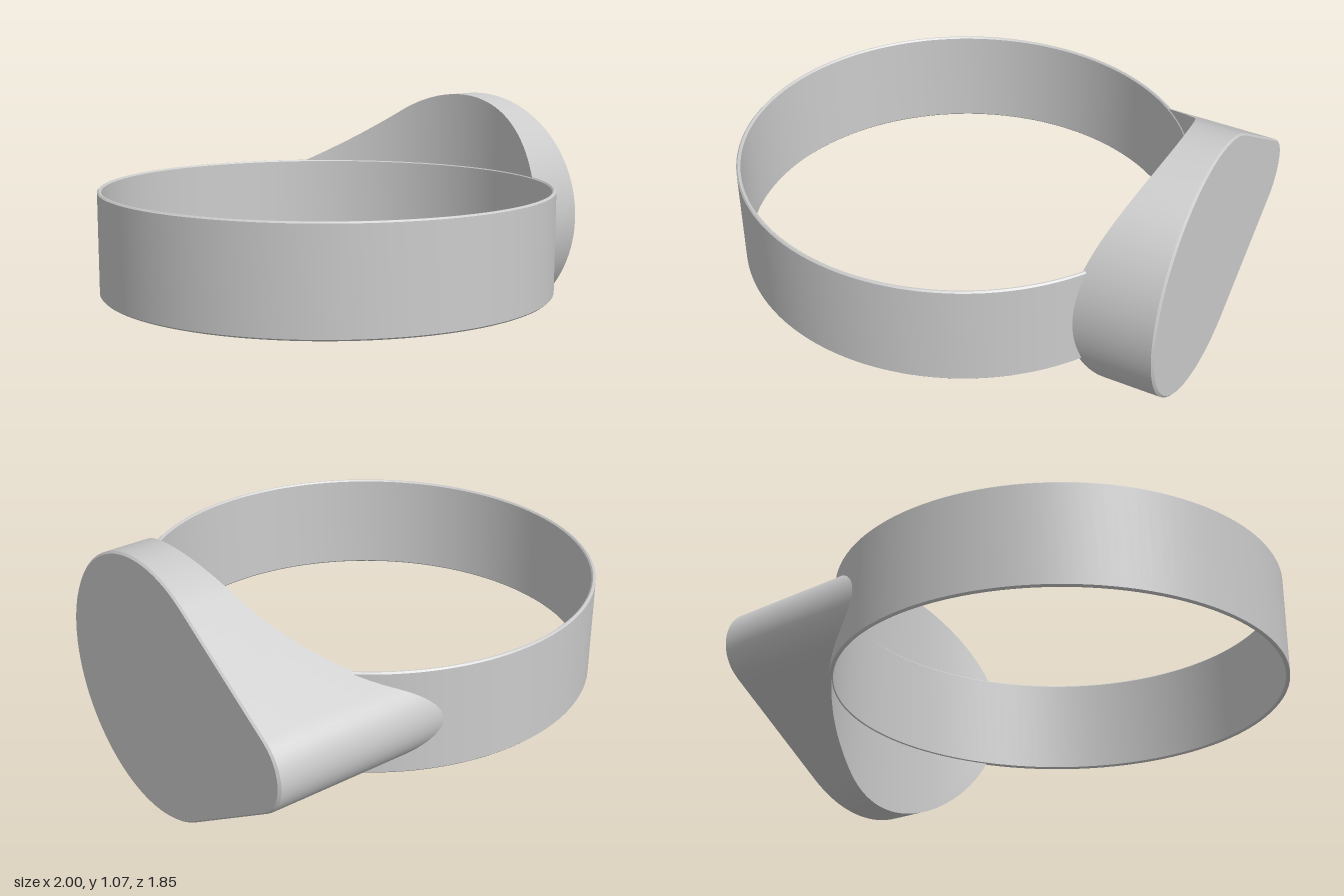
import * as THREE from 'three';
import { toCreasedNormals } from 'three/addons/utils/BufferGeometryUtils.js';

const BAND = { x: -0.075, y: 0.54, inner: 0.908, outer: 0.925, half: 0.21 };
const FACE_X = 1;

// Thin cylindrical band with slightly eased edges
function bandGeometry() {
  const { inner, outer, half } = BAND, e = 0.006;
  const profile = [
    [inner, -half + e], [inner + e, -half], [outer - e, -half], [outer, -half + e],
    [outer, half - e], [outer - e, half], [inner + e, half], [inner, half - e], [inner, -half + e],
  ].map(([r, y]) => new THREE.Vector2(r, y));
  return toCreasedNormals(new THREE.LatheGeometry(profile, 128), 0.6);
}

// Teardrop outline: large arc and small tip arc joined by tangent lines
function teardropOutline() {
  const big = 0.533, tip = 0.17, dist = 0.675;
  const t = Math.acos((big - tip) / dist);
  const shape = new THREE.Shape();
  shape.absarc(dist, 0, tip, -t, t);
  shape.absarc(0, 0, big, t, Math.PI * 2 - t);
  shape.closePath();
  return shape.getSpacedPoints(144).slice(0, -1);
}

// Teardrop head: finger-side hollow, tapering wall, chamfer and flat face
function headGeometry() {
  const outline = teardropOutline(), n = outline.length;
  const mid = 0.15, bore = BAND.inner + 0.004;
  const boreX = u => BAND.x + Math.sqrt(Math.max(0, bore * bore - u * u));
  const taper = x => 1 + (FACE_X - x) * 0.018;

  // Each ring gives a scale of the outline and how far it lies from bore to face
  const rings = [];
  for (let i = 0; i <= 16; i++) rings.push({ s: i / 16, d: 0 });
  for (const d of [0.25, 0.5, 0.75]) rings.push({ s: 1, d });
  rings.push({ s: 1, d: 1, back: 0.008 }, { s: 0.985, d: 1 }, { s: 0.5, d: 1 }, { s: 0, d: 1 });

  const position = [], index = [];
  for (const { s, d, back = 0 } of rings) {
    for (const p of outline) {
      let u = mid + (p.x - mid) * s, v = p.y * s;
      const k = taper(THREE.MathUtils.lerp(boreX(u), FACE_X, d));
      u *= k;
      v *= k;
      position.push(THREE.MathUtils.lerp(boreX(u), FACE_X - back, d), BAND.y + v, -u);
    }
  }
  for (let r = 0; r < rings.length - 1; r++) {
    for (let i = 0; i < n; i++) {
      const j = (i + 1) % n;
      const a = r * n + i, b = r * n + j, c = a + n, e = b + n;
      if (rings[r].s > 0) index.push(a, b, c);
      if (rings[r + 1].s > 0) index.push(b, e, c);
    }
  }
  const geometry = new THREE.BufferGeometry();
  geometry.setAttribute('position', new THREE.Float32BufferAttribute(position, 3));
  geometry.setIndex(index);
  return toCreasedNormals(geometry, 0.6);
}

export function createModel() {
  const group = new THREE.Group();
  group.name = 'signetRing';
  const material = new THREE.MeshStandardMaterial({ color: 0xcccccc, side: THREE.DoubleSide });

  const band = new THREE.Mesh(bandGeometry(), material);
  band.name = 'band';
  band.position.set(BAND.x, BAND.y, 0);

  const head = new THREE.Mesh(headGeometry(), material);
  head.name = 'teardropHead';

  group.add(band, head);
  return group;
}
